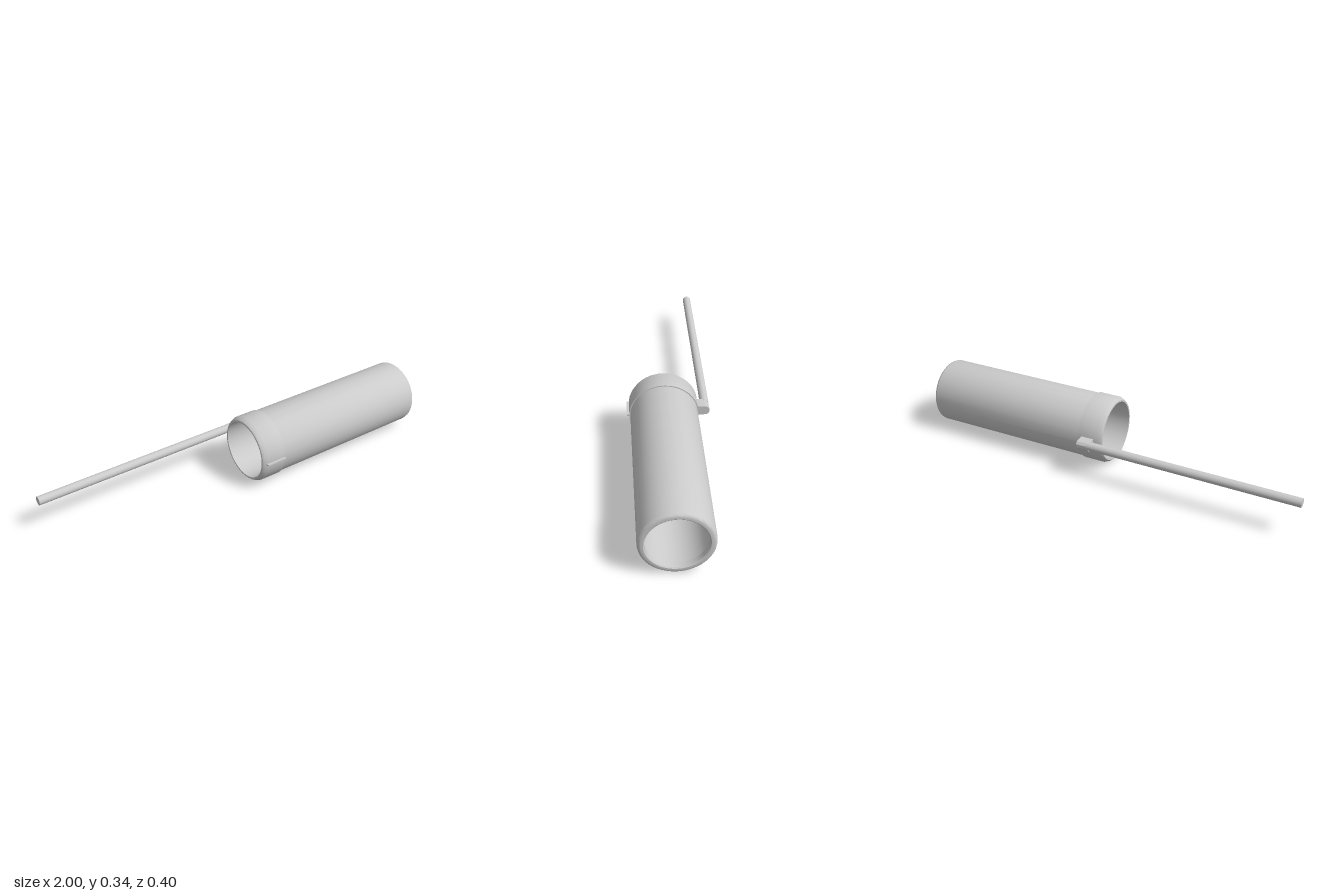
import * as THREE from 'three';
import { toCreasedNormals } from 'three/addons/utils/BufferGeometryUtils.js';

const material = new THREE.MeshStandardMaterial({ color: 0xcccccc });
const AXIS_Y = 0.168, AXIS_Z = 0.022; // centre line of the sleeve

function addMesh(group, name, geometry) {
  const mesh = new THREE.Mesh(geometry, material);
  mesh.name = name;
  group.add(mesh);
  return mesh;
}

// Revolves a closed [radius, x] profile about the sleeve's centre line
function addTurned(group, name, profile) {
  const points = [...profile, profile[0]].map(([r, x]) => new THREE.Vector2(r, x));
  const geometry = toCreasedNormals(new THREE.LatheGeometry(points, 48), 0.6);
  geometry.rotateZ(-Math.PI / 2);
  addMesh(group, name, geometry).position.set(0, AXIS_Y, AXIS_Z);
}

export function createModel() {
  const group = new THREE.Group();

  // Hollow sleeve with softened ends and a narrower lip at the far mouth
  addTurned(group, 'sleeve', [
    [0.146, 0.004], [0.154, 0.004], [0.161, 0.012], [0.163, 0.02],
    [0.163, 0.984], [0.161, 0.992], [0.155, 0.998], [0.148, 1],
    [0.138, 1], [0.133, 0.996], [0.133, 0.97], [0.145, 0.96],
  ]);

  // Slightly raised collar around the near end
  addTurned(group, 'collar', [
    [0.155, 0.012], [0.16, 0.012], [0.168, 0.028], [0.168, 0.128], [0.155, 0.128],
  ]);

  // Thin fin on the front of the collar
  addMesh(group, 'fin', new THREE.BoxGeometry(0.108, 0.008, 0.022))
    .position.set(0.074, 0.17, 0.191);

  // Round-backed lug carrying the rod
  const r = 0.0235, rodZ = -0.178;
  const lug = new THREE.Shape();
  lug.moveTo(0.14, -r);
  lug.lineTo(-rodZ, -r);
  lug.absarc(-rodZ, 0, r, -Math.PI / 2, Math.PI / 2, false);
  lug.lineTo(0.14, r);
  lug.closePath();
  const lugGeometry = new THREE.ExtrudeGeometry(lug, { depth: 0.064, bevelEnabled: false, curveSegments: 16 });
  lugGeometry.rotateY(Math.PI / 2); // extrusion along +x, round side toward -z
  addMesh(group, 'lug', toCreasedNormals(lugGeometry, 0.6)).position.set(0.046, 0.169, 0);

  // Long slim rod
  const rod = addMesh(group, 'rod', new THREE.CylinderGeometry(0.0215, 0.0215, 1.06, 24));
  rod.rotation.z = Math.PI / 2;
  rod.position.set(-0.47, 0.172, rodZ - 0.002);

  return group;
}
